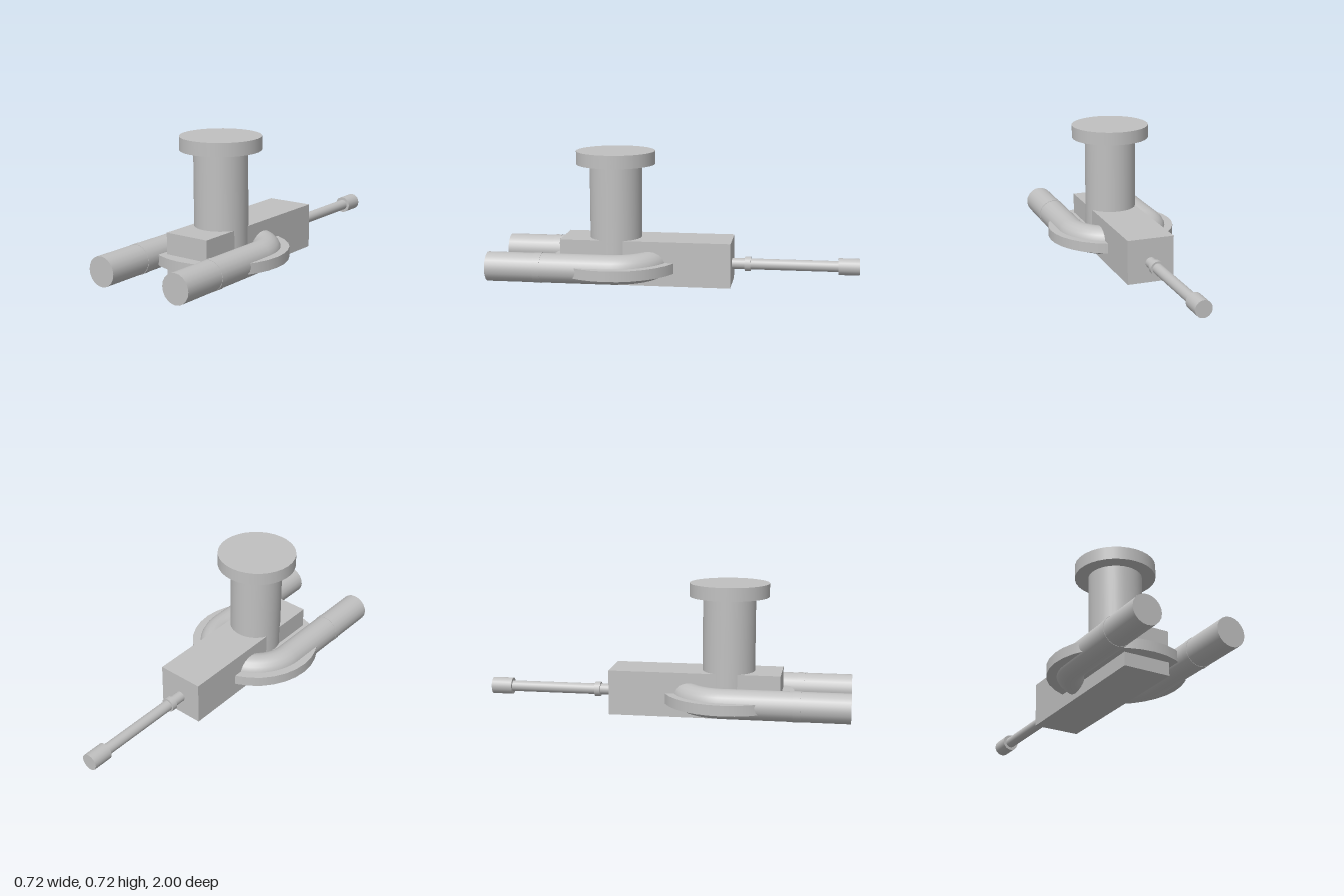
import * as THREE from 'three';

export function createModel() {
  const model = new THREE.Group();
  const grey = new THREE.MeshStandardMaterial({ color: 0xc0c0c0 });
  grey.name = 'plain grey';

  const CENTRE_Z = 0.336; // shared axis of column, disc and pipe bend
  const AXIS_Y = 0.11; // height of pipes and rod

  const add = (name, geometry, x, y, z) => {
    const mesh = new THREE.Mesh(geometry, grey);
    mesh.name = name;
    mesh.position.set(x, y, z);
    model.add(mesh);
    return mesh;
  };
  // Upright cylinder between two heights
  const upright = (name, r, y0, y1, sides) =>
    add(name, new THREE.CylinderGeometry(r, r, y1 - y0, sides), 0, (y0 + y1) / 2, CENTRE_Z);
  // Cylinder lying along z
  const lengthwise = (name, r, x, z0, z1, sides = 20) =>
    add(name, new THREE.CylinderGeometry(r, r, z1 - z0, sides).rotateX(Math.PI / 2), x, AXIS_Y, (z0 + z1) / 2);

  // Central block
  add('body', new THREE.BoxGeometry(0.26, 0.245, 0.935), 0, 0.1225, 0.1575);

  // Column with cap, and the flat disc around the body
  upright('column', 0.143, 0.1, 0.655, 32);
  upright('cap', 0.216, 0.65, 0.722, 32);
  upright('disc', 0.36, 0.073, 0.13, 32);

  // U-shaped pipe: half-ring bend behind, straight legs to the front
  const bend = new THREE.TorusGeometry(0.237, 0.08, 20, 32, Math.PI).rotateX(-Math.PI / 2);
  add('pipeBend', bend, 0, AXIS_Y, CENTRE_Z);
  for (const side of [-1, 1]) {
    const prefix = side > 0 ? 'left' : 'right';
    lengthwise(prefix + 'Pipe', 0.08, side * 0.237, CENTRE_Z, 1);
    lengthwise(prefix + 'PipeCollar', 0.082, side * 0.237, 0.7, 0.74);
  }

  // Rear rod with ring and end knob
  lengthwise('rod', 0.03, 0, -0.9, -0.3);
  lengthwise('rodRing', 0.04, 0, -0.412, -0.38);
  lengthwise('rodKnob', 0.046, 0, -1, -0.886);

  return model;
}
